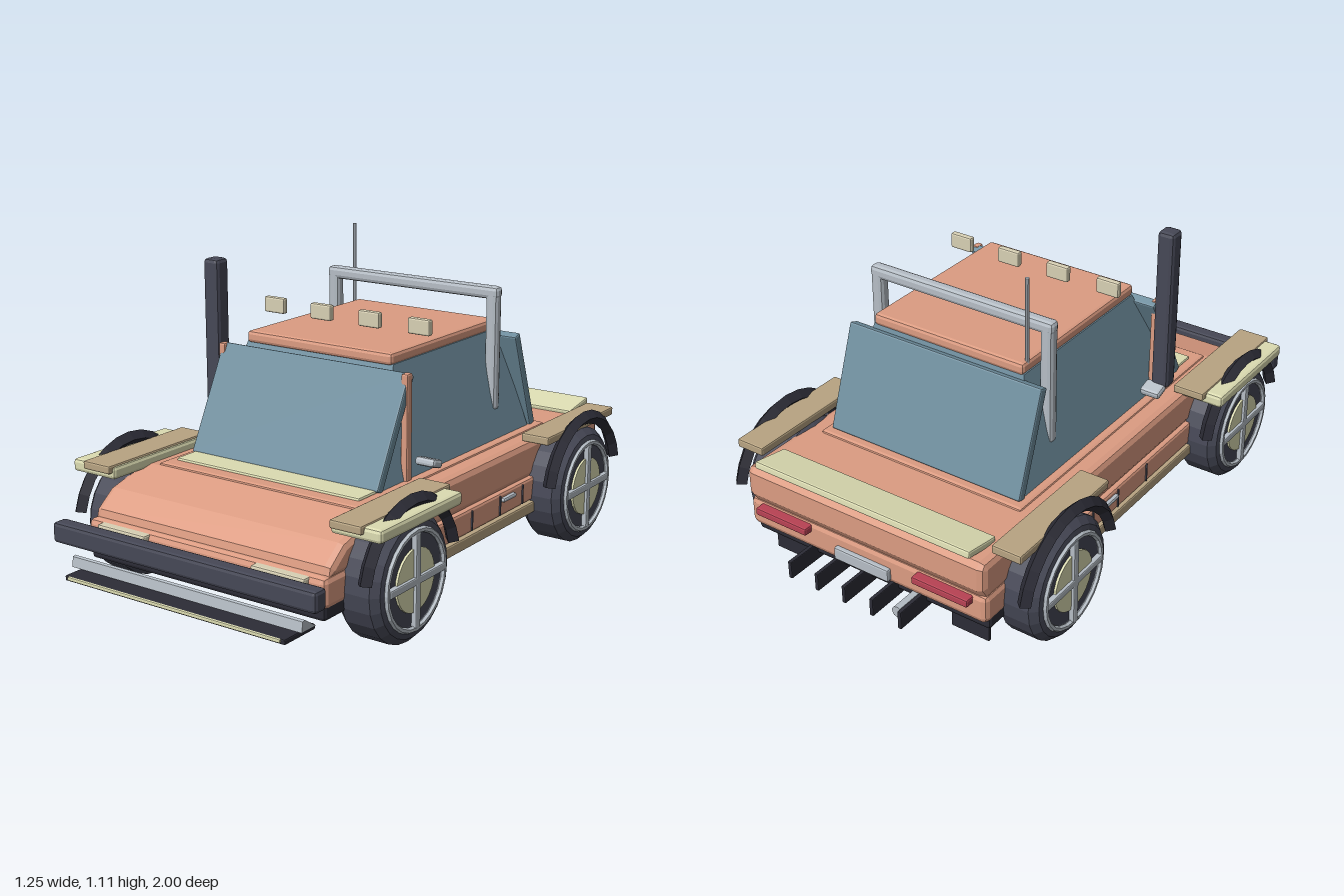
import * as THREE from 'three';
import { RoundedBoxGeometry } from 'three/addons/geometries/RoundedBoxGeometry.js';

const mat = (color, extra = {}) => new THREE.MeshStandardMaterial({ color, flatShading: true, ...extra });

export function createModel() {
  const root = new THREE.Group();
  const paint = mat(0xdc9c82), glass = mat(0x6f8e9e), dark = mat(0x464856), black = mat(0x2c2c36);
  const cream = mat(0xdcdcb2), tan = mat(0xb8a482), lamp = mat(0xd8d0b4), metal = mat(0xb6bec6), red = mat(0xb84254);

  const add = (name, geo, m, parent = root) => {
    const mesh = new THREE.Mesh(geo, m);
    mesh.name = name;
    parent.add(mesh);
    return mesh;
  };
  // chamfered box given by its min/max on each axis
  const box = (name, m, [x0, x1], [y0, y1], [z0, z1], bevel = 0.006, parent = root) => {
    const w = x1 - x0, h = y1 - y0, d = z1 - z0;
    const mesh = add(name, new RoundedBoxGeometry(w, h, d, 1, Math.min(bevel, w * 0.45, h * 0.45, d * 0.45)), m, parent);
    mesh.position.set((x0 + x1) / 2, (y0 + y1) / 2, (z0 + z1) / 2);
    return mesh;
  };
  // the same box on both sides
  const pair = (name, m, [x0, x1], y, z, bevel) => {
    box(name + 'Left', m, [x0, x1], y, z, bevel);
    box(name + 'Right', m, [-x1, -x0], y, z, bevel);
  };
  // side outline of [z, y] points extruded across x
  const sideExtrude = (name, m, pts, half, bevel) => {
    const shape = new THREE.Shape(pts.map(([z, y]) => new THREE.Vector2(-z, y)));
    const geo = new THREE.ExtrudeGeometry(shape, {
      depth: 2 * (half - bevel), bevelEnabled: bevel > 0, bevelSize: bevel, bevelOffset: -bevel,
      bevelThickness: bevel, bevelSegments: 2,
    });
    geo.translate(0, 0, -(half - bevel));
    geo.rotateY(Math.PI / 2);
    return add(name, geo, m);
  };

  // body shell
  sideExtrude('upperBody', paint, [[0.82, 0.27], [0.81, 0.31], [0.74, 0.365], [0.58, 0.41], [-0.89, 0.41], [-0.905, 0.39], [-0.905, 0.31], [-0.88, 0.27]], 0.478, 0.025);
  box('lowerBody', paint, [-0.48, 0.48], [0.18, 0.285], [-0.895, 0.845], 0.02);
  box('doorPanels', paint, [-0.492, 0.492], [0.195, 0.28], [-0.4, 0.34], 0.01);
  box('cabinBase', paint, [-0.41, 0.41], [0.38, 0.418], [-0.61, 0.575], 0.012);
  box('floor', black, [-0.475, 0.475], [0.145, 0.2], [-0.87, 0.84], 0.012);
  pair('sill', tan, [0.44, 0.5], [0.15, 0.192], [-0.39, 0.34]);
  for (const z of [0.03, -0.155, -0.31]) pair('doorSeam', dark, [0.47, 0.497], [0.2, 0.272], [z - 0.004, z + 0.004]);
  pair('doorHandle', metal, [0.48, 0.505], [0.246, 0.262], [-0.25, -0.165]);
  box('cowlPanel', cream, [-0.375, 0.375], [0.405, 0.427], [0.38, 0.52]);
  const spoiler = box('rearSpoiler', cream, [-0.43, 0.43], [0.41, 0.436], [-0.91, -0.77]);
  spoiler.rotation.x = 0.17;

  // glasshouse: a box drawn in towards the roof
  const house = new THREE.BoxGeometry(1, 1, 1);
  const p = house.attributes.position;
  for (let i = 0; i < p.count; i++) {
    const top = p.getY(i) > 0, front = p.getZ(i) > 0;
    p.setXYZ(i, Math.sign(p.getX(i)) * (top ? 0.3 : 0.38), top ? 0.785 : 0.41,
      front ? (top ? 0.22 : 0.4) : (top ? -0.43 : -0.54));
  }
  house.computeVertexNormals();
  add('sideWindows', house, glass);
  const windshield = box('windshield', glass, [-0.384, 0.384], [0.395, 0.79], [0.31, 0.345]);
  windshield.rotation.x = -0.47;
  const rearWindow = box('rearWindow', glass, [-0.384, 0.384], [0.405, 0.78], [-0.52, -0.485]);
  rearWindow.rotation.x = 0.34;
  box('roof', paint, [-0.298, 0.298], [0.78, 0.822], [-0.435, 0.23], 0.012);
  pair('frontPillar', paint, [0.364, 0.389], [0.4, 0.775], [0.24, 0.272]);

  // roll bar, roof lamps, stack, antenna, mirrors
  pair('rollBarPost', metal, [0.315, 0.36], [0.51, 0.955], [-0.37, -0.325], 0.014);
  box('rollBarTop', metal, [-0.362, 0.362], [0.91, 0.955], [-0.37, -0.325], 0.014);
  for (const x of [-0.3, -0.1, 0.1, 0.3]) box('roofLamp', lamp, [x - 0.043, x + 0.043], [0.855, 0.91], [0.052, 0.076]);
  box('exhaustStack', dark, [-0.461, -0.398], [0.47, 1.06], [0.198, 0.262], 0.014);
  add('antenna', new THREE.CylinderGeometry(0.007, 0.007, 0.33, 8), metal).position.set(-0.291, 0.945, -0.4);
  for (const s of [1, -1]) {
    const mirror = box('mirror', metal, [0.38, 0.455], [0.453, 0.482], [0.155, 0.215], 0.01);
    mirror.position.x *= s;
    mirror.rotation.x = -0.3;
  }

  // front end
  box('frontBumper', dark, [-0.53, 0.53], [0.222, 0.292], [0.9, 0.958], 0.012);
  sideExtrude('skidBar', metal, [[0.87, 0.146], [0.94, 0.146], [0.935, 0.18], [0.925, 0.183]], 0.466, 0);
  box('splitter', black, [-0.445, 0.445], [0.121, 0.139], [0.845, 0.994], 0.004);
  box('splitterLip', cream, [-0.43, 0.43], [0.126, 0.138], [0.988, 1.0], 0.003);
  box('grille', dark, [-0.14, 0.14], [0.196, 0.255], [0.835, 0.872]);
  box('frontPlate', metal, [-0.115, 0.115], [0.184, 0.21], [0.83, 0.853]);
  pair('headlight', lamp, [0.215, 0.42], [0.23, 0.28], [0.83, 0.866]);

  // rear end
  pair('tailLight', red, [0.215, 0.43], [0.247, 0.274], [-0.926, -0.88]);
  box('rearPlate', metal, [-0.11, 0.11], [0.195, 0.24], [-0.912, -0.88]);
  for (let i = -2; i <= 2; i++) box('diffuserFin', black, [i * 0.112 - 0.007, i * 0.112 + 0.007], [0.123, 0.188], [-1.0, -0.84], 0.003);
  const pipe = add('tailPipe', new THREE.CylinderGeometry(0.02, 0.02, 0.14, 10), metal);
  pipe.rotation.x = Math.PI / 2;
  pipe.position.set(-0.2, 0.165, -0.91);
  pair('mudFlap', black, [0.295, 0.44], [0.055, 0.16], [-0.827, -0.813], 0.003);

  // fender plates
  pair('frontFender', cream, [0.437, 0.623], [0.396, 0.441], [0.305, 0.76], 0.012);
  pair('frontFenderTrim', tan, [0.445, 0.562], [0.418, 0.447], [0.28, 0.775]);
  pair('rearFenderTrim', tan, [0.462, 0.57], [0.416, 0.447], [-0.84, -0.345]);

  // wheels: tyre turned about the axle, with ring, disc and cross spokes, and an arch above
  const tyreProfile = [[0, -0.085], [0.16, -0.085], [0.188, -0.08], [0.211, -0.052], [0.211, 0.052], [0.188, 0.076], [0.165, 0.08], [0.15, 0.074], [0, 0.074]]
    .map(([r, h]) => new THREE.Vector2(r, h));
  const tyre = new THREE.LatheGeometry(tyreProfile, 24).rotateZ(-Math.PI / 2);
  const disc = new THREE.CylinderGeometry(0.105, 0.105, 0.02, 24).rotateZ(Math.PI / 2);
  const ring = new THREE.TorusGeometry(0.16, 0.01, 6, 24).rotateY(Math.PI / 2);
  const sweep = Math.PI * 0.86;
  const arch = new THREE.TorusGeometry(0.25, 0.025, 4, 12, sweep).rotateZ((Math.PI - sweep) / 2).rotateY(Math.PI / 2);
  for (const s of [1, -1]) {
    for (const z of [0.535, -0.59]) {
      const wheel = new THREE.Group();
      wheel.name = (z > 0 ? 'front' : 'rear') + (s > 0 ? 'Left' : 'Right') + 'Wheel';
      wheel.position.set(s * 0.518, 0.212, z);
      wheel.rotation.y = s > 0 ? 0 : Math.PI;
      root.add(wheel);
      add('tyre', tyre, dark, wheel);
      add('hubDisc', disc, cream, wheel).position.x = 0.072;
      add('rimRing', ring, metal, wheel).position.x = 0.08;
      box('spokeUpright', metal, [0.07, 0.092], [-0.155, 0.155], [-0.013, 0.013], 0.004, wheel);
      box('spokeLevel', metal, [0.07, 0.092], [-0.013, 0.013], [-0.155, 0.155], 0.004, wheel);
      add('wheelArch', arch, black, wheel).position.x = 0.06;
    }
  }
  return root;
}
